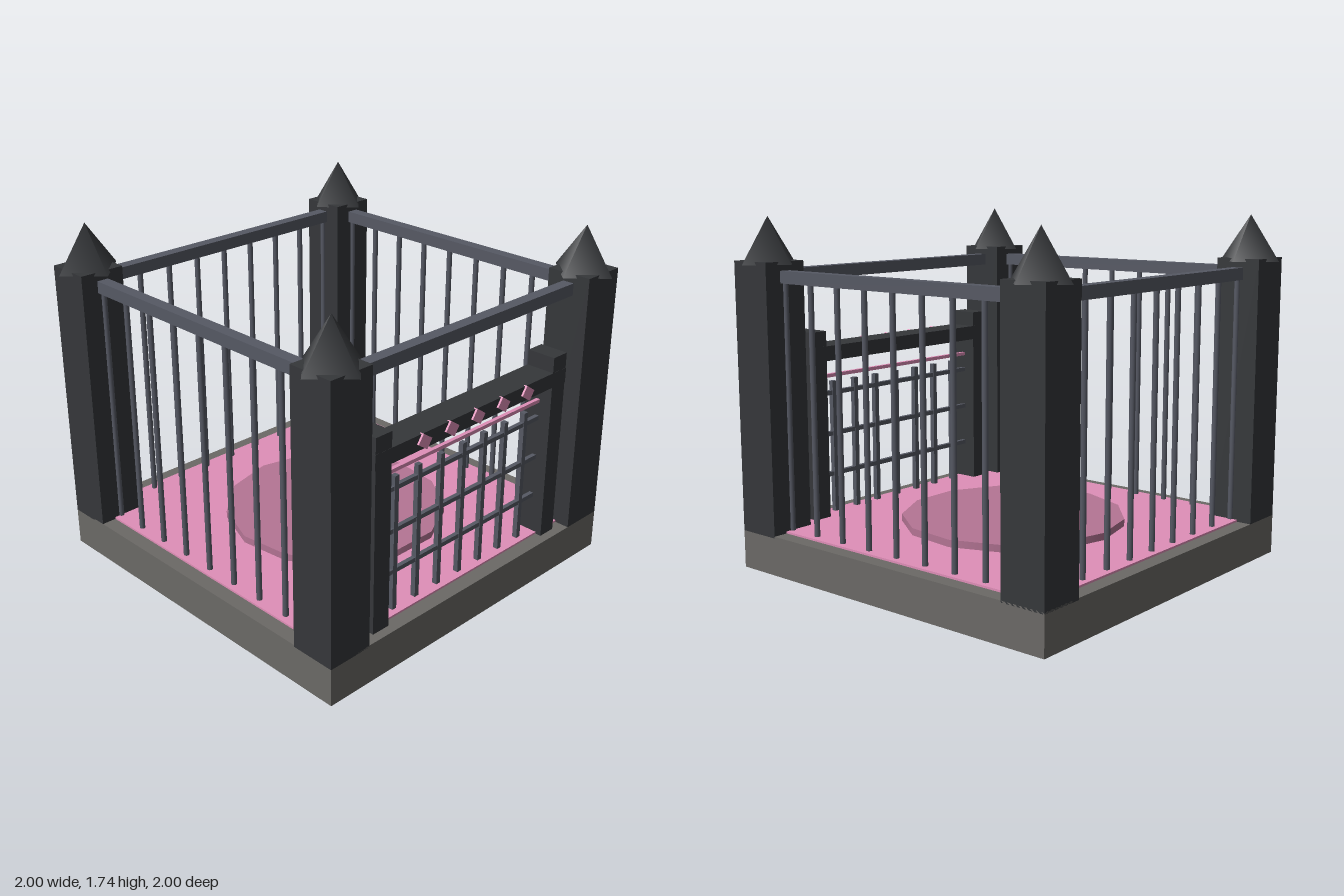
import * as THREE from 'three';

const mat = (color) => new THREE.MeshStandardMaterial({ color });

export function createModel() {
  const model = new THREE.Group();
  const stone = mat(0x6b6966), dark = mat(0x35373a), iron = mat(0x565964);
  const pink = mat(0xe08fb8), mauve = mat(0xb57595);

  const add = (parent, name, geometry, material, x, y, z) => {
    const mesh = new THREE.Mesh(geometry, material);
    mesh.name = name;
    mesh.position.set(x, y, z);
    parent.add(mesh);
    return mesh;
  };
  const box = (parent, name, w, h, d, material, x, y, z) =>
    add(parent, name, new THREE.BoxGeometry(w, h, d), material, x, y, z);

  // Plinth, floor and round platform
  box(model, 'base', 1.906, 0.198, 1.906, stone, 0, 0.1, 0);
  box(model, 'floor', 1.754, 0.02, 1.754, pink, 0, 0.199, 0);
  add(model, 'platform', new THREE.CylinderGeometry(0.565, 0.565, 0.045, 13), mauve, 0, 0.2225, 0)
    .rotation.y = Math.PI;

  // Corner pillars with pointed caps
  const C = 0.837;
  for (const sx of [-1, 1]) for (const sz of [-1, 1]) {
    box(model, 'pillar', 0.232, 1.34, 0.232, dark, sx * C, 0.86, sz * C);
    add(model, 'pillarCap', new THREE.ConeGeometry(0.163, 0.228, 4), dark, sx * C, 1.629, sz * C);
  }

  // Top rail on every side, upright bars on all but the front
  for (let side = 0; side < 4; side++) {
    const fence = new THREE.Group();
    fence.name = 'fence';
    fence.rotation.y = side * Math.PI / 2;
    box(fence, 'rail', 1.48, 0.06, 0.06, iron, 0, 1.457, C);
    if (side > 0) for (let i = -4; i <= 4; i++) {
      add(fence, 'bar', new THREE.CylinderGeometry(0.014, 0.014, 1.25, 8), iron, i * 0.18, 0.815, C);
    }
    model.add(fence);
  }

  // Front gate: posts, lintel, grille and ornaments
  const gate = new THREE.Group();
  gate.name = 'gate';
  gate.position.z = 0.833;
  model.add(gate);
  for (const s of [-1, 1]) box(gate, 'gatePost', 0.098, 1.168, 0.15, dark, s * 0.603, 0.583, 0);
  box(gate, 'lintel', 1.31, 0.075, 0.152, dark, 0, 1.052, 0);
  box(gate, 'pinkBar', 1.12, 0.018, 0.02, pink, 0, 0.925, 0);
  for (const y of [0.41, 0.622, 0.835]) box(gate, 'crossBar', 1.12, 0.022, 0.022, iron, 0, y, 0);
  for (let i = -3; i <= 3; i++) box(gate, 'gateBar', 0.026, 0.69, 0.026, iron, i * 0.15, 0.55, 0);
  for (let i = -2; i <= 2; i++) {
    box(gate, 'ornament', 0.068, 0.054, 0.02, pink, i * 0.178, 1.052, 0.076).rotation.z = -0.6;
  }
  return model;
}
